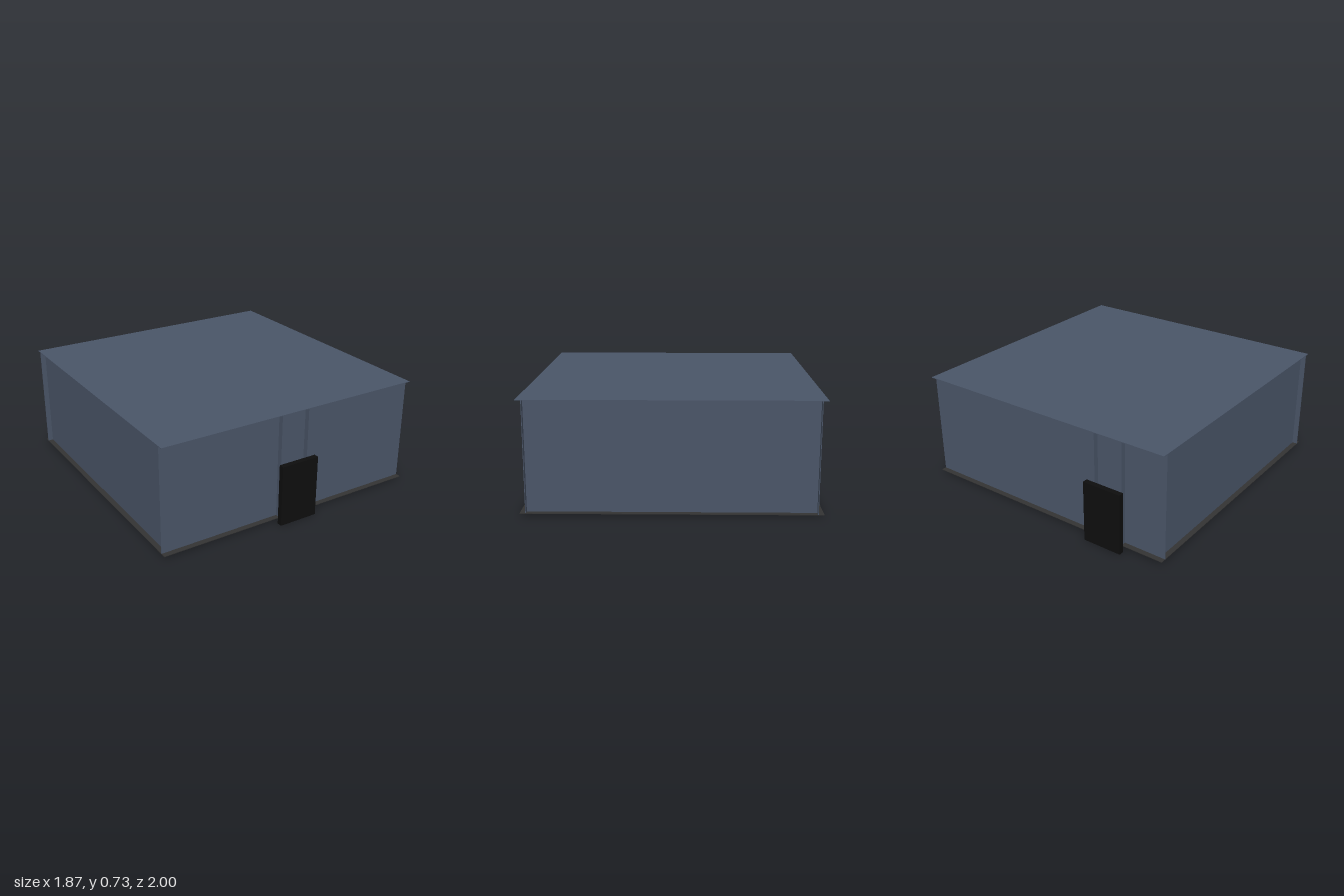
import * as THREE from 'three';

const paint = (name, color) => {
  const m = new THREE.MeshStandardMaterial({ color });
  m.name = name;
  return m;
};

export function createModel() {
  const group = new THREE.Group();
  const slate = paint('slate', 0x4a5568);
  const charcoal = paint('charcoal', 0x333333);
  const black = paint('black', 0x0e0e0e);

  const box = (name, material, w, h, d, x, y, z) => {
    const mesh = new THREE.Mesh(new THREE.BoxGeometry(w, h, d), material);
    mesh.name = name;
    mesh.position.set(x, y, z);
    group.add(mesh);
    return mesh;
  };

  const half = 0.935;   // edge of roof and floor
  const inset = 0.9;    // wall faces
  const base = 0.014;   // underside of floor
  const top = 0.73;
  const t = 0.004;      // sheet thickness
  const wallH = top - base - 2 * t;
  const midY = (top + base) / 2;

  // Roof and floor sheets
  box('roof', slate, half * 2, t, half * 2, 0, top - t / 2, 0);
  box('floor', charcoal, half * 2, t, half * 2, 0, base + t / 2, 0);

  // Front and back walls run past the side walls at the corners
  for (const s of [1, -1]) {
    const end = s > 0 ? 'front' : 'back';
    const side = s > 0 ? 'left' : 'right';
    const doorX = s > 0 ? 0 : -0.54;
    box(end + 'Wall', slate, half * 2, wallH, t, 0, midY, s * (inset - t / 2));
    box(side + 'Wall', slate, t, wallH, inset * 2 - 2 * t, s * (inset - t / 2), midY, 0);

    // Thin fins framing the doorway
    for (const e of [-1, 1]) {
      box(end + 'DoorFin', slate, t, wallH, half - inset, doorX + e * 0.1, midY, s * (half + inset) / 2);
    }

    // Door slab standing clear of the wall
    box(end + 'Door', black, 0.27, 0.415, 0.035, doorX, 0.2075, s * 0.9825);
  }

  return group;
}
